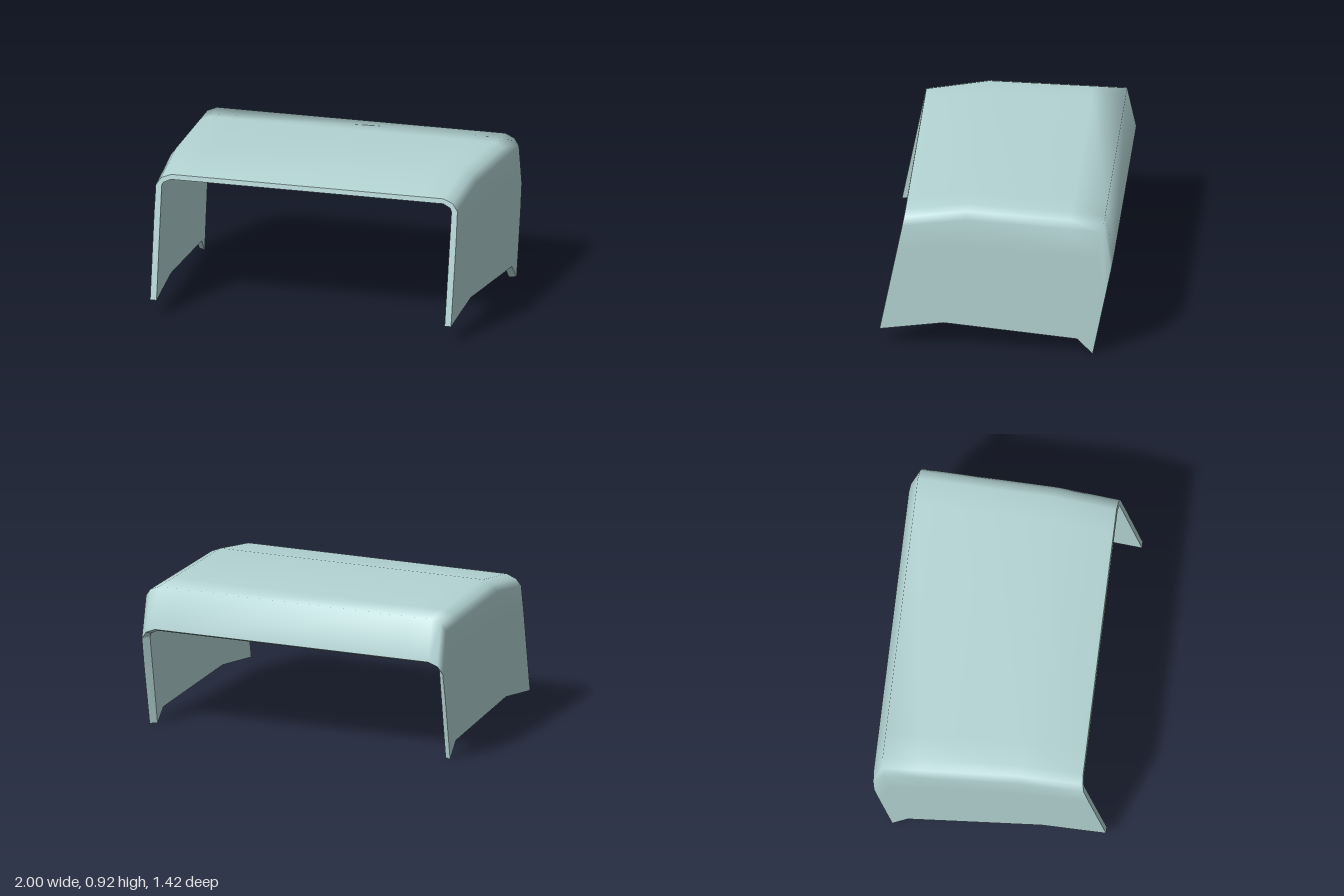
import * as THREE from 'three';

// Stations from front to back: roof [z, y] and leg foot [z, y] of a leaning U section
const OUTER = [
  { roof: [0.56, 0.86], foot: [0.71, 0.10] },
  { roof: [0.18, 0.92], foot: [0.32, 0.16] },
  { roof: [-0.45, 0.894], foot: [-0.33, 0.108] },
  { roof: [-0.655, 0.885], foot: [-0.49, 0.095] },
  { roof: [-0.71, 0.63], foot: [-0.585, 0] },
];
const INNER = [
  { roof: [0.566, 0.83], foot: [0.71, 0.10] },
  { roof: [0.18, 0.885], foot: [0.32, 0.147] },
  { roof: [-0.43, 0.859], foot: [-0.33, 0.096] },
  { roof: [-0.615, 0.85], foot: [-0.48, 0.083] },
  { roof: [-0.67, 0.613], foot: [-0.56, 0] },
];
// Section from foot to roof: [inset from the side, drop below the roof]
const OUTER_SECTION = [[0, null], [0, 0.25], [0.003, 0.07], [0.035, 0.025], [0.095, 0], [0.25, 0]];
const INNER_SECTION = [[0.04, null], [0.04, 0.25], [0.04, 0.045], [0.05, 0.022], [0.095, 0], [0.25, 0]];

// One U-shaped row of points, from the left foot over the roof to the right foot
function sectionRow({ roof, foot }, section) {
  const length = Math.hypot(foot[0] - roof[0], foot[1] - roof[1]);
  const left = section.map(([inset, drop]) => {
    const t = drop === null ? 1 : drop / length;
    const z = roof[0] + (foot[0] - roof[0]) * t;
    const y = roof[1] + (foot[1] - roof[1]) * t;
    return new THREE.Vector3(0.972 - 0.04 * z - inset, y, z); // widens to the back
  });
  const right = left.map((p) => new THREE.Vector3(-p.x, p.y, p.z)).reverse();
  return [...left, ...right];
}

// Skin between rows of points
function skin(rows, { flip = false, flat = false } = {}) {
  const n = rows[0].length;
  const index = [];
  for (let i = 0; i < rows.length - 1; i++) {
    for (let j = 0; j < n - 1; j++) {
      const a = i * n + j, b = a + n, c = a + 1, d = b + 1;
      if (flip) index.push(a, c, b, b, c, d);
      else index.push(a, b, c, b, d, c);
    }
  }
  let geometry = new THREE.BufferGeometry().setFromPoints(rows.flat());
  geometry.setIndex(index);
  if (flat) geometry = geometry.toNonIndexed();
  geometry.computeVertexNormals();
  return geometry;
}

export function createModel() {
  const group = new THREE.Group();
  group.name = 'hood';
  const material = new THREE.MeshStandardMaterial({ color: 0xb4d4d4 });
  const add = (name, geometry) => {
    const mesh = new THREE.Mesh(geometry, material);
    mesh.name = name;
    group.add(mesh);
  };

  const outer = OUTER.map((s) => sectionRow(s, OUTER_SECTION));
  const inner = INNER.map((s) => sectionRow(s, INNER_SECTION));
  const last = outer.length - 1;
  const end = outer[0].length - 1;
  const column = (rows, j) => rows.map((row) => row[j]);

  // Smooth outside and inside of the shell
  add('outerShell', skin(outer));
  add('innerShell', skin(inner, { flip: true }));

  // Crisp rims closing the wall thickness
  const flat = { flat: true };
  add('frontRim', skin([inner[0], outer[0]], flat));
  add('backRim', skin([outer[last], inner[last]], flat));
  add('leftBottomRim', skin([column(outer, 0), column(inner, 0)], flat));
  add('rightBottomRim', skin([column(inner, end), column(outer, end)], flat));

  return group;
}
